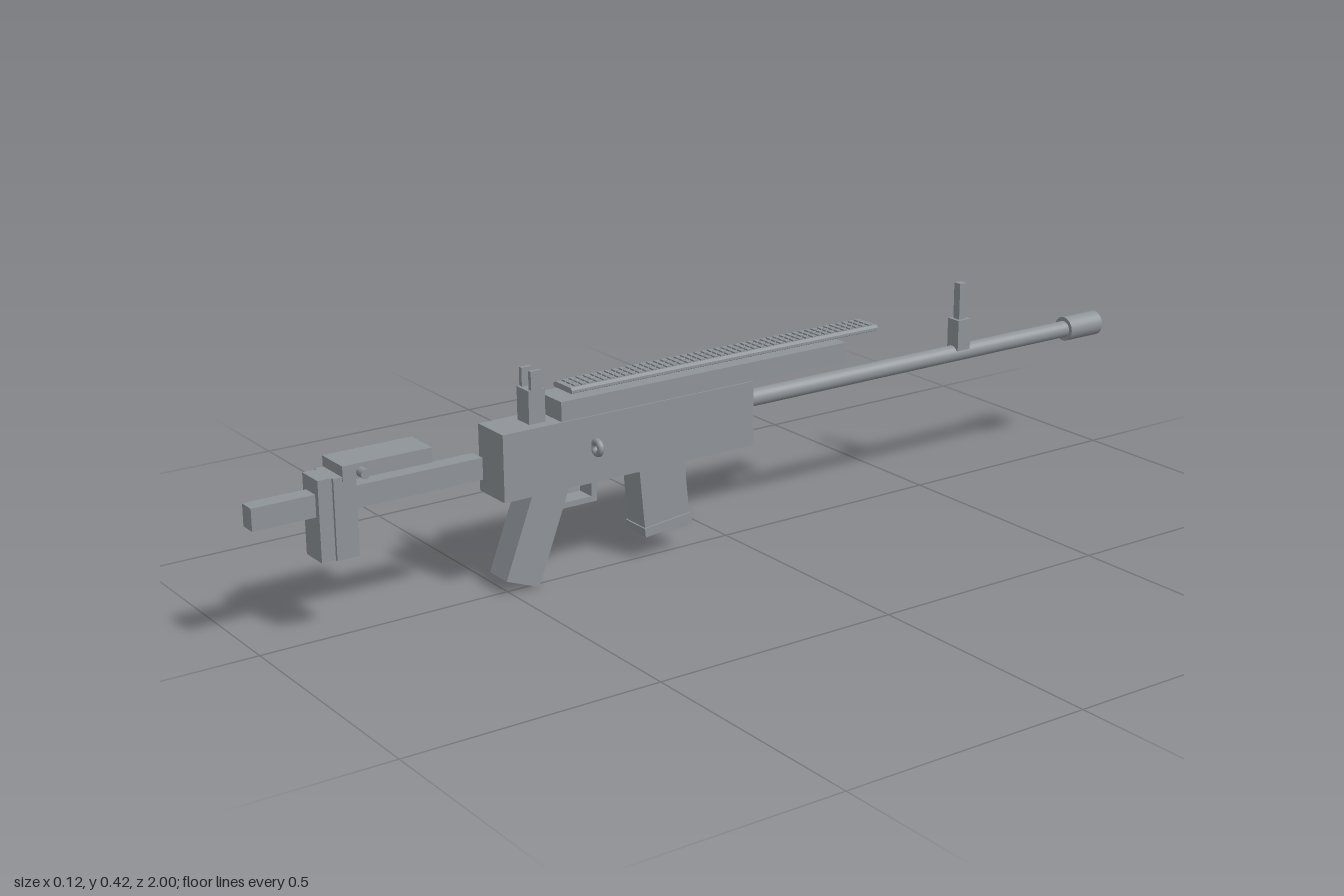
import * as THREE from 'three';

const CX = -0.0145; // centre line of the weapon

export function createModel() {
  const root = new THREE.Group();
  const mat = new THREE.MeshStandardMaterial({ color: 0x8f9499 });

  const add = (name, geo, x = 0, y = 0, z = 0, parent = root) => {
    const m = new THREE.Mesh(geo, mat);
    m.name = name;
    m.position.set(x, y, z);
    parent.add(m);
    return m;
  };
  // box given by its width and its y and z ranges
  const box = (name, w, y0, y1, z0, z1, x = CX, parent = root) =>
    add(name, new THREE.BoxGeometry(w, y1 - y0, z1 - z0), x, (y0 + y1) / 2, (z0 + z1) / 2, parent);
  // round bar along z
  const rod = (name, r, z0, z1) => {
    const g = new THREE.CylinderGeometry(r, r, z1 - z0, 24).rotateX(Math.PI / 2);
    return add(name, g, CX - 0.002, 0.266, (z0 + z1) / 2);
  };
  // side profile in [z, y] pairs, extruded across the width
  const profile = (name, pts, w) => {
    const s = new THREE.Shape(pts.map(([z, y]) => new THREE.Vector2(-z, y)));
    const g = new THREE.ExtrudeGeometry(s, { depth: w, bevelEnabled: false });
    g.translate(0, 0, -w / 2).rotateY(Math.PI / 2);
    return add(name, g, CX, 0, 0);
  };

  // Receiver and handguard
  box('receiver', 0.087, 0.186, 0.316, -0.045, 0.517);
  box('handguard', 0.081, 0.312, 0.354, -0.275, 0.39);

  // Barrel
  rod('barrel', 0.0175, -0.95, 0);
  rod('muzzle', 0.026, -1, -0.91);

  // Top rail: stepped plate with a fine grid of raised studs
  const rail = new THREE.Group();
  rail.name = 'topRail';
  root.add(rail);
  const railShape = new THREE.Shape([
    [-0.028, 0.361], [0.028, 0.361], [0.032, 0.363], [0.032, 0.368],
    [0.026, 0.372], [-0.026, 0.372], [-0.032, 0.368], [-0.032, 0.363],
  ].map(p => new THREE.Vector2(...p)));
  add('railPlate', new THREE.ExtrudeGeometry(railShape, { depth: 0.725, bevelEnabled: false }),
    CX - 0.001, 0, -0.365, rail);
  const rows = 45;
  for (let i = 0; i < rows; i++) {
    const z = -0.355 + (i * 0.695) / (rows - 1);
    for (const s of [-1, 0, 1]) box('railStud', 0.013, 0.37, 0.375, z, z + 0.009, CX + s * 0.0165, rail);
  }

  // Rear sight: block with two posts
  box('rearSightBase', 0.041, 0.31, 0.38, 0.412, 0.447);
  for (const s of [-1, 1]) box('rearSightPost', 0.009, 0.378, 0.416, 0.418, 0.441, CX + s * 0.016);

  // Front sight
  box('frontSightBase', 0.033, 0.275, 0.34, -0.625, -0.592);
  box('frontSightPost', 0.018, 0.335, 0.416, -0.618, -0.6);

  // Grip and trigger guard
  profile('grip', [[0.51, 0.027], [0.44, 0], [0.365, 0.195], [0.435, 0.222]], 0.06);
  box('triggerGuardBar', 0.04, 0.139, 0.15, 0.303, 0.41);
  box('triggerGuardFront', 0.04, 0.139, 0.181, 0.303, 0.315);

  // Magazine with a slightly wider floor plate
  profile('magazine', [[0.2, 0.052], [0.097, 0.062], [0.11, 0.2], [0.213, 0.19]], 0.058);
  profile('magazineFloor', [[0.202, 0.046], [0.094, 0.057], [0.096, 0.075], [0.204, 0.064]], 0.066);

  // Stock: bar, cheek rest, butt and its narrower pad
  box('stockBar', 0.034, 0.23, 0.272, 0.545, 1);
  box('cheekRest', 0.075, 0.292, 0.32, 0.658, 0.835);
  box('butt', 0.07, 0.148, 0.3, 0.808, 0.852);
  box('buttPad', 0.058, 0.148, 0.3, 0.85, 0.879);

  // Cheek rest knob and charging ring on the left side
  add('cheekKnob', new THREE.CylinderGeometry(0.009, 0.009, 0.03, 16).rotateZ(Math.PI / 2), 0.027, 0.304, 0.8);
  add('chargingRing', new THREE.TorusGeometry(0.0115, 0.0065, 12, 24), 0.0395, 0.257, 0.322);

  return root;
}
